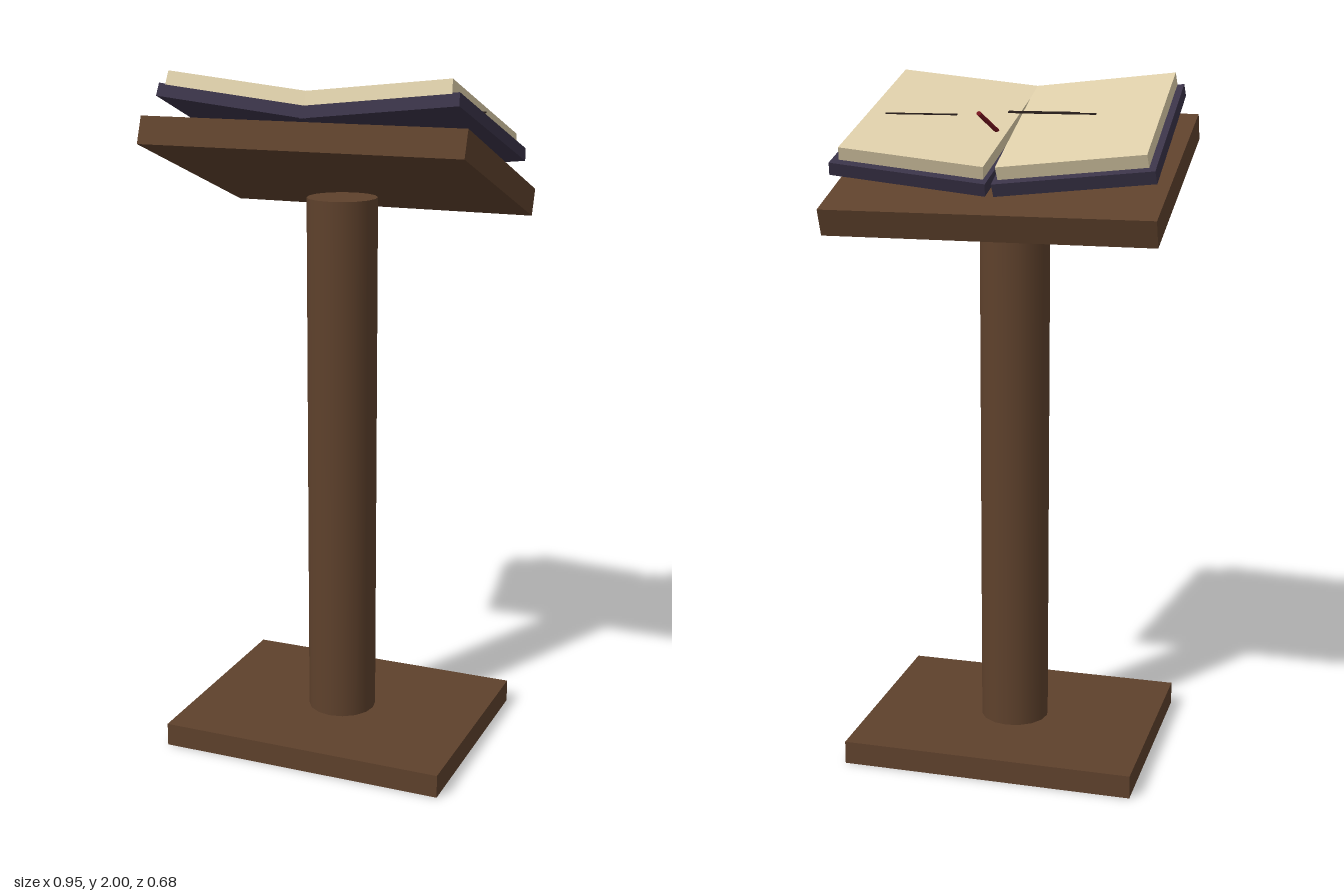
import * as THREE from 'three';

const TILT = THREE.MathUtils.degToRad(20);
const OPEN = THREE.MathUtils.degToRad(6);

function flat(name, color) {
  const m = new THREE.MeshStandardMaterial({ color });
  m.name = name;
  return m;
}

export function createModel() {
  const wood = flat('brown wood', 0x5e412c);
  const leather = flat('dark violet leather', 0x3a3348);
  const paper = flat('cream paper', 0xdccda8);
  const ink = flat('dark ink', 0x2a1f1c);
  const red = flat('red ribbon', 0x7d1620);

  const model = new THREE.Group();
  model.name = 'lecternWithBook';

  function add(parent, name, geometry, material, x, y, z) {
    const mesh = new THREE.Mesh(geometry, material);
    mesh.name = name;
    mesh.position.set(x, y, z);
    parent.add(mesh);
    return mesh;
  }
  const box = (w, h, d) => new THREE.BoxGeometry(w, h, d);

  // Stand: foot plate, round post and sloping desk
  add(model, 'base', box(0.86, 0.068, 0.684), wood, 0, 0.034, 0);
  add(model, 'post', new THREE.CylinderGeometry(0.102, 0.102, 1.638, 16), wood, 0, 0.821, 0);
  add(model, 'desk', box(0.946, 0.08, 0.684), wood, 0, 1.725, 0).rotation.x = -TILT;

  // Open book: each half slopes with the desk, then lifts at its outer edge
  for (const [side, s] of [['left', 1], ['right', -1]]) {
    const cover = add(model, side + 'Cover', box(0.45, 0.037, 0.583), leather, s * 0.2235, 1.827, 0);
    const pages = add(model, side + 'Pages', box(0.417, 0.04, 0.558), paper, s * 0.216, 1.8645, 0);
    for (const part of [cover, pages]) part.rotation.set(-TILT, 0, s * OPEN, 'ZYX');
  }

  // Level lines of writing: centre x and z
  const writing = new THREE.Group();
  writing.name = 'writing';
  model.add(writing);
  for (const [x, z] of [[-0.135, -0.021], [-0.088, -0.014], [-0.079, 0.021], [0.231, -0.142], [0.329, 0.035]]) {
    add(writing, 'writingLine', box(0.207, 0.004, 0.008), ink, x, 1.896, z);
  }

  // Thin red marker pushed through the pages
  const rod = new THREE.CylinderGeometry(0.0065, 0.0065, 0.305, 10).rotateX(Math.PI / 2);
  add(model, 'bookMarker', rod, red, 0.039, 1.853, -0.068).rotation.set(TILT, 0, -OPEN, 'ZYX');

  return model;
}
